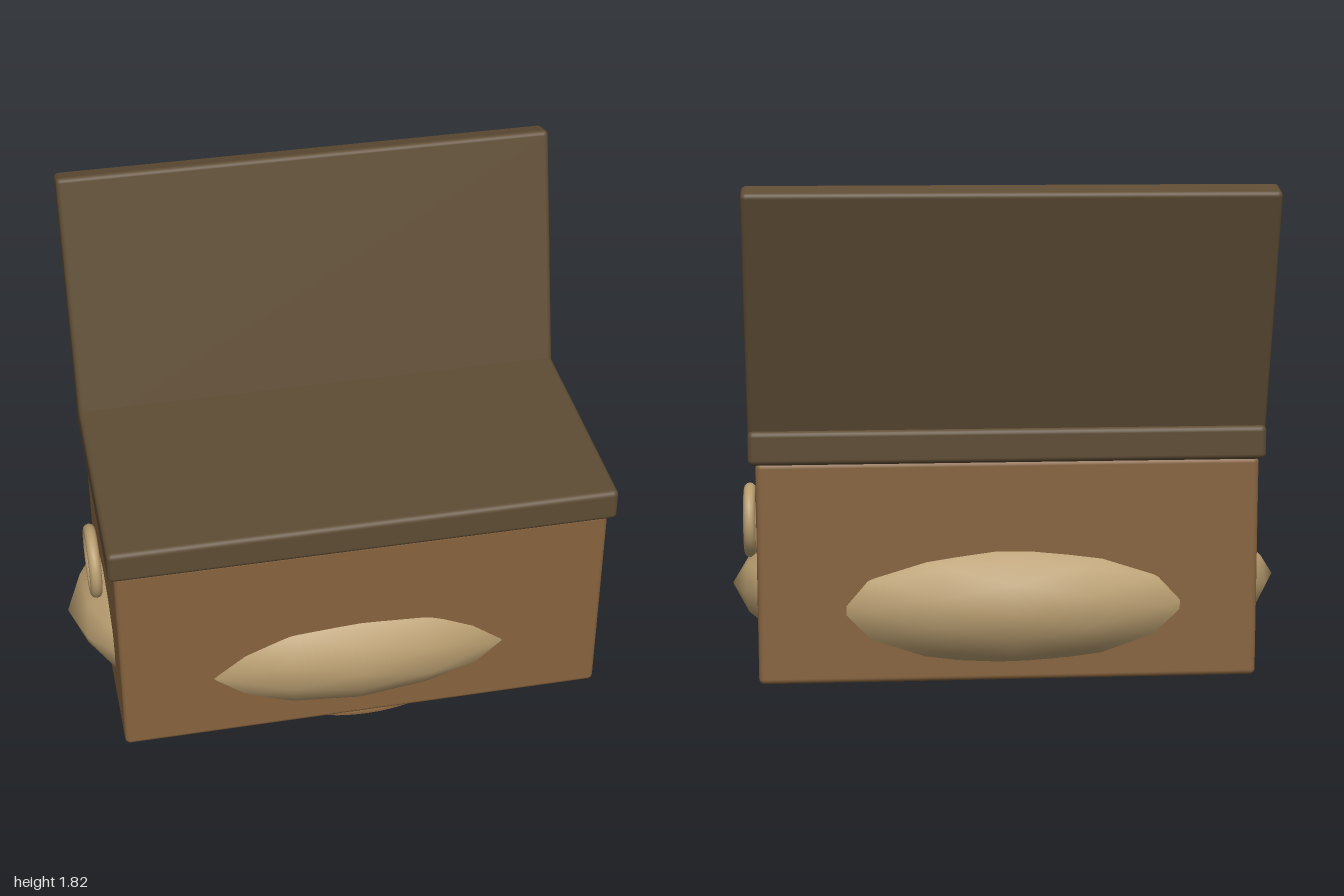
import * as THREE from 'three';
import { mergeVertices } from 'three/addons/utils/BufferGeometryUtils.js';
import { RoundedBoxGeometry } from 'three/addons/geometries/RoundedBoxGeometry.js';

const paint = (name, color) => {
  const m = new THREE.MeshStandardMaterial({ color });
  m.name = name;
  return m;
};

export function createModel() {
  const group = new THREE.Group();
  const wood = paint('brown wood', 0x87643f);
  const darkWood = paint('dark wood', 0x5e4c34);
  const tan = paint('tan', 0xb89d70);

  const add = (name, geometry, material, x, y, z) => {
    const mesh = new THREE.Mesh(geometry, material);
    mesh.name = name;
    mesh.position.set(x, y, z);
    group.add(mesh);
    return mesh;
  };

  // Chest body, rim slab and open lid leaning back
  add('body', new RoundedBoxGeometry(1.76, 0.79, 0.93, 3, 0.02), wood, 0.015, 0.47, 0.07);
  add('rim', new RoundedBoxGeometry(1.805, 0.12, 0.98, 3, 0.02), darkWood, 0.017, 0.92, 0.07);
  const lid = add('lid', new RoundedBoxGeometry(1.805, 0.977, 0.105, 3, 0.018), darkWood, 0.017, 1.345, -0.447);
  lid.rotation.x = -THREE.MathUtils.degToRad(15);

  // Lumpy filling that bulges through the walls and the floor
  const lump = new THREE.IcosahedronGeometry(1, 3);
  lump.deleteAttribute('uv');
  lump.deleteAttribute('normal');
  const filling = mergeVertices(lump, 1e-4);
  const p = filling.attributes.position;
  const v = new THREE.Vector3();
  for (let i = 0; i < p.count; i++) {
    v.fromBufferAttribute(p, i);
    const k = 1 + 0.012 * Math.sin(7 * v.x + 2) * Math.cos(9 * v.y + 5 * v.z);
    v.multiplyScalar(k).multiply(new THREE.Vector3(0.995, 0.338, 0.565));
    p.setXYZ(i, v.x, v.y, v.z);
  }
  filling.computeVertexNormals();
  add('filling', filling, tan, 0, 0.34, 0.055);

  // Thin half disc under the front of the floor
  const disc = new THREE.CylinderGeometry(0.465, 0.465, 0.009, 32, 1, false, -Math.PI / 2, Math.PI);
  disc.scale(1.15, 1, 1);
  add('floorDisc', disc, wood, 0.03, 0.0715, 0.07);

  // Ring handle on each end
  const ring = new THREE.TorusGeometry(0.115, 0.022, 12, 32).rotateY(Math.PI / 2);
  add('rightRing', ring, tan, -0.902, 0.572, 0.07);
  add('leftRing', ring, tan, 0.933, 0.572, 0.07);

  return group;
}
